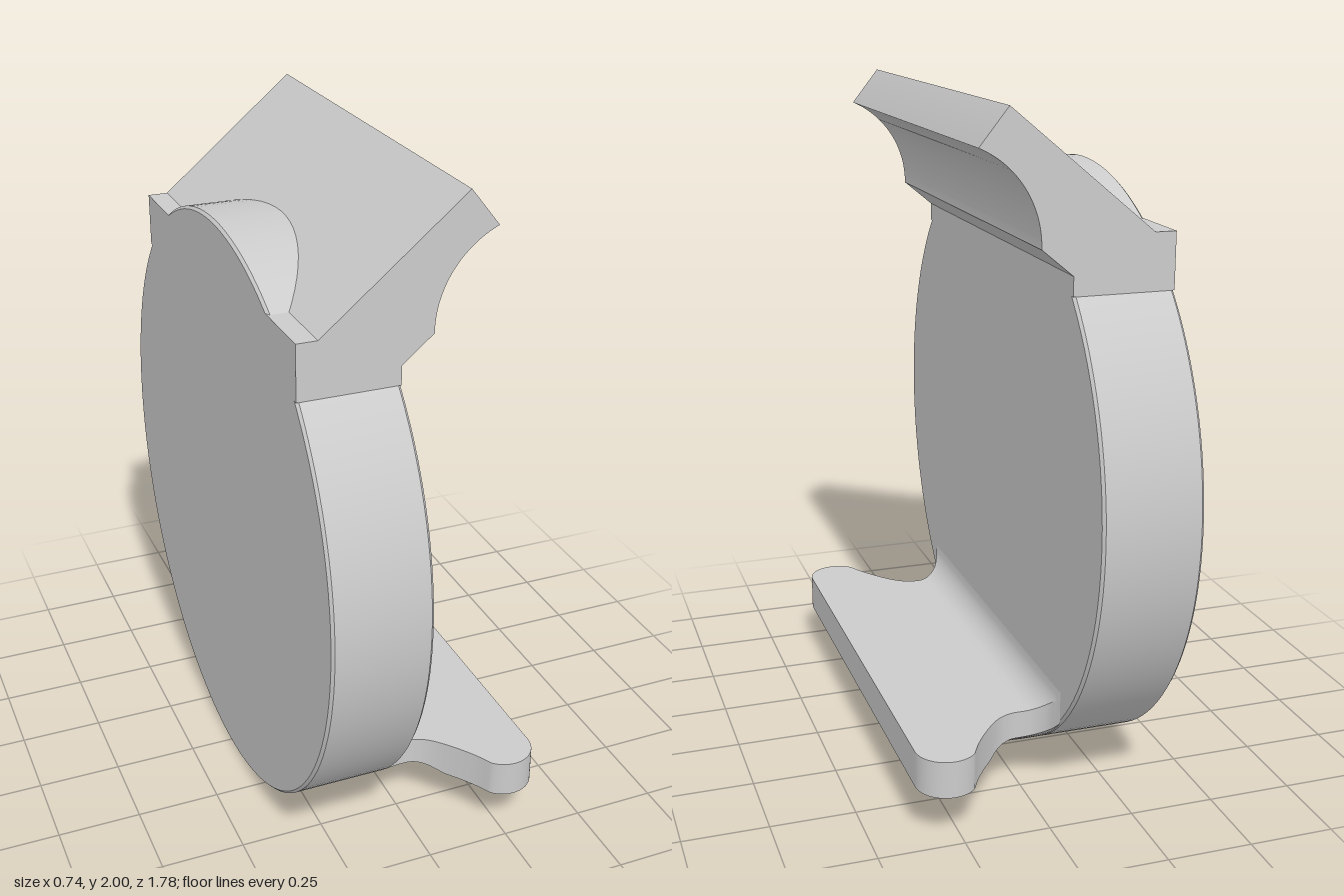
import * as THREE from 'three';
import { toCreasedNormals } from 'three/addons/utils/BufferGeometryUtils.js';

const R = 0.89, BACK = -0.37, FACE = -0.08;
const material = new THREE.MeshStandardMaterial({ color: 0xcccccc });

function addPart(group, name, geometry, crease = 0.5) {
  const mesh = new THREE.Mesh(toCreasedNormals(geometry, crease), material);
  mesh.name = name;
  group.add(mesh);
}

// Round plate standing on edge, its rim lightly chamfered
function discGeometry() {
  const c = 0.008;
  const profile = [[0, BACK], [R - c, BACK], [R, BACK + c], [R, FACE - c], [R - c, FACE], [0, FACE]];
  const geo = new THREE.LatheGeometry(profile.map(([r, y]) => new THREE.Vector2(r, y)), 128);
  return geo.rotateZ(-Math.PI / 2).translate(0, R, 0);
}

// Slanted lip with a concave underside, extruded along z
function lipGeometry() {
  const s = new THREE.Shape();
  s.moveTo(BACK, 1.5);
  s.lineTo(FACE, 1.5);
  s.lineTo(FACE, 1.555);
  s.lineTo(0.01, 1.63);
  s.absarc(0.295, 1.635, 0.285, Math.PI, Math.PI * 0.63, true);
  s.lineTo(0.18, 1.9);
  s.lineTo(0.1, 2.0);
  s.lineTo(-0.31, 1.66);
  s.lineTo(BACK, 1.66);
  s.closePath();
  const geo = new THREE.ExtrudeGeometry(s, { depth: 1.3, bevelEnabled: false, curveSegments: 24 });
  return geo.translate(0, 0, -0.65);
}

// Shelf lofted along x: filleted root, narrow neck, flared rounded ends
function shelfGeometry() {
  const neck = new THREE.SplineCurve([
    [-0.08, 0.61], [-0.06, 0.56], [-0.02, 0.527], [0.03, 0.52],
    [0.08, 0.54], [0.13, 0.59], [0.18, 0.658], [0.21, 0.712],
  ].map(([x, w]) => new THREE.Vector2(x, w)));
  const stations = neck.getPoints(35).map((p) => [p.x, p.y]);
  const a0 = Math.acos(-0.065 / 0.09);
  for (let i = 1; i <= 18; i++) {
    const a = a0 * (1 - i / 18);
    stations.push([0.275 + 0.09 * Math.cos(a), 0.65 + 0.09 * Math.sin(a)]);
  }

  const N = 48, ring = 2 * (N + 1), pos = [], idx = [];
  for (const [x, w] of stations) {
    const top = x < 0.01 ? 0.34 - Math.sqrt(Math.max(0, 0.0081 - (x - 0.01) ** 2)) : 0.25;
    const under = x < 0.06 ? Math.sqrt(Math.max(0, 0.0196 - (x - 0.06) ** 2)) : 0.14;
    const fade = 1 - THREE.MathUtils.smoothstep(x, 0.02, 0.13);
    for (let j = 0; j <= N; j++) pos.push(x, top, w * (2 * j / N - 1));
    for (let j = N; j >= 0; j--) {
      const z = w * (2 * j / N - 1);
      // The underside gusset is trimmed by the disc's rim
      const rim = R - Math.sqrt(R * R - z * z);
      const y = Math.max(under, THREE.MathUtils.lerp(0.14, rim, fade));
      pos.push(x, Math.min(y, top - 0.01), z);
    }
  }
  for (let i = 0; i < stations.length - 1; i++) {
    for (let j = 0; j < ring; j++) {
      const a = i * ring + j, b = i * ring + (j + 1) % ring;
      idx.push(a, b, a + ring, b, b + ring, a + ring);
    }
  }
  // Flat outer edge
  const last = (stations.length - 1) * ring;
  for (let j = 0; j < N; j++) {
    const t = last + j, b = last + ring - 1 - j;
    idx.push(b, t, t + 1, b, t + 1, b - 1);
  }
  const geo = new THREE.BufferGeometry();
  geo.setAttribute('position', new THREE.Float32BufferAttribute(pos, 3));
  geo.setIndex(idx);
  return geo;
}

export function createModel() {
  const group = new THREE.Group();
  group.name = 'discBracket';
  addPart(group, 'disc', discGeometry());
  addPart(group, 'upperLip', lipGeometry());
  addPart(group, 'lowerShelf', shelfGeometry());
  return group;
}
